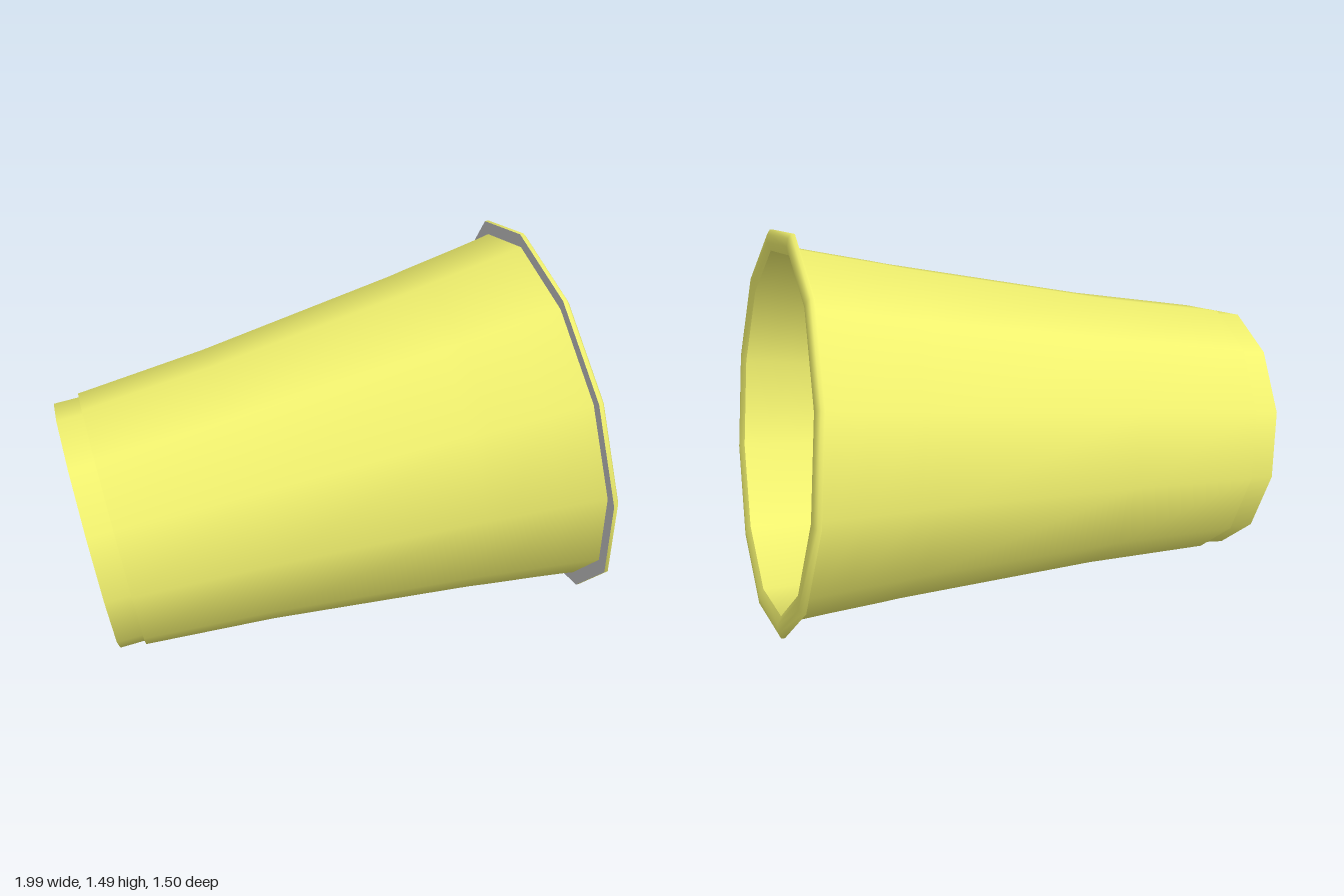
import * as THREE from 'three';

const SIDES = 12;

// Lathe each [radius, height] run on its own so the edges between runs stay sharp
function turned(name, runs, material) {
  const part = new THREE.Group();
  part.name = name;
  runs.forEach((run, i) => {
    const points = run.map(([r, h]) => new THREE.Vector2(r, h));
    const mesh = new THREE.Mesh(new THREE.LatheGeometry(points, SIDES), material);
    mesh.name = name + 'Surface' + (i + 1);
    part.add(mesh);
  });
  return part;
}

export function createModel() {
  const yellow = new THREE.MeshStandardMaterial({ color: 0xf0f06e });
  const grey = new THREE.MeshStandardMaterial({ color: 0xcccccc });

  const cup = new THREE.Group();
  cup.name = 'cup';

  // Foot: recessed underside, standing ring and short straight wall
  cup.add(turned('foot', [
    [[0, 0.08], [0.43, 0.08]],
    [[0.43, 0.08], [0.44, 0]],
    [[0.44, 0], [0.4825, 0]],
    [[0.4825, 0], [0.4825, 0.097]],
    [[0.4825, 0.097], [0.497, 0.097]],
  ], yellow));

  // Tapered outer wall with faint bands
  cup.add(turned('outerWall', [
    [[0.497, 0.097], [0.539, 0.595], [0.635, 1.38], [0.646, 1.45],
      [0.674, 1.648], [0.692, 1.767], [0.7, 1.812]],
  ], yellow));

  // Flared lip: rounded top and flat underside
  cup.add(turned('lip', [
    [[0.7525, 1.812], [0.7525, 1.826], [0.735, 1.836], [0.705, 1.838], [0.673, 1.824]],
  ], yellow));
  cup.add(turned('lipUnderside', [[[0.7, 1.812], [0.7525, 1.812]]], grey));

  // Inner wall, from the lip down to the floor
  cup.add(turned('innerWall', [
    [[0.673, 1.824], [0.67, 1.767], [0.657, 1.648], [0.63, 1.45],
      [0.619, 1.38], [0.52, 0.595], [0.475, 0.125]],
  ], yellow));
  cup.add(turned('innerFloor', [
    [[0.475, 0.125], [0.457, 0.115]],
    [[0.457, 0.115], [0, 0.115]],
  ], yellow));

  // Lay the cup on its side, opening towards +x and slightly raised
  cup.rotation.z = -Math.PI / 2 + Math.atan2(0.2625, 1.8175);
  cup.position.set(-0.93, 0.4795, 0);

  const model = new THREE.Group();
  model.name = 'cupOnItsSide';
  model.add(cup);
  return model;
}
